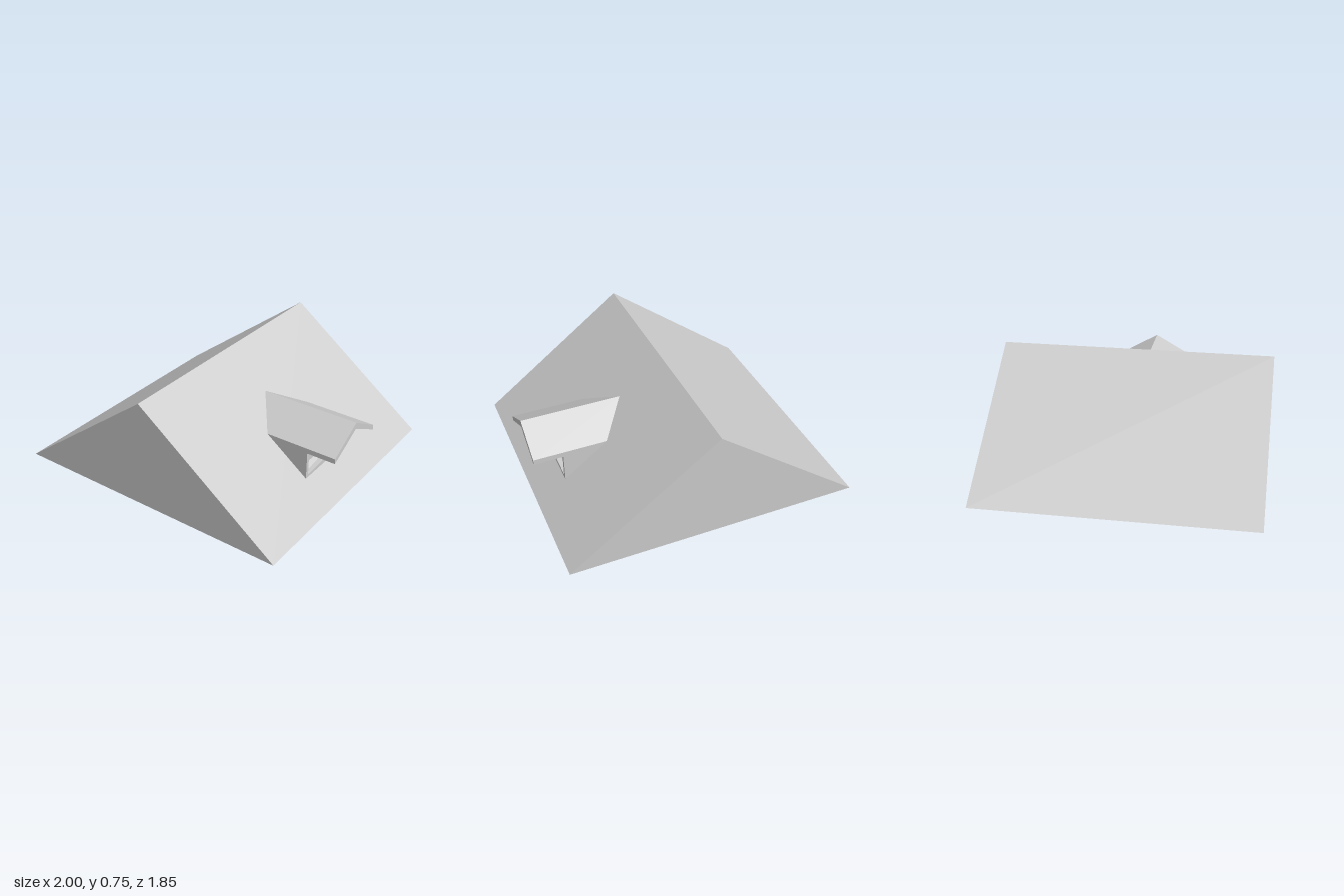
import * as THREE from 'three';

const material = new THREE.MeshStandardMaterial({ color: 0xcccccc, flatShading: true });

const toVectors = (points) => points.map(([a, b]) => new THREE.Vector2(a, b));

// Extrude a (z, y) outline along x from x0 to x1
function alongX(name, outline, x0, x1, holes = []) {
  const shape = new THREE.Shape(toVectors(outline));
  for (const hole of holes) shape.holes.push(new THREE.Path(toVectors(hole)));
  const geometry = new THREE.ExtrudeGeometry(shape, { depth: x1 - x0, bevelEnabled: false });
  geometry.rotateY(Math.PI / 2).translate(x0, 0, 0);
  const mesh = new THREE.Mesh(geometry, material);
  mesh.name = name;
  return mesh;
}

export function createModel() {
  const model = new THREE.Group();
  model.name = 'gableRoof';

  // Main gable roof: a solid triangular prism
  const gable = new THREE.Shape(toVectors([[-1, 0], [1, 0], [0, 0.755]]));
  const roofGeometry = new THREE.ExtrudeGeometry(gable, { depth: 1.85, bevelEnabled: false });
  roofGeometry.translate(0, 0, -0.925);
  const mainRoof = new THREE.Mesh(roofGeometry, material);
  mainRoof.name = 'mainRoof';
  model.add(mainRoof);

  const dormer = new THREE.Group();
  dormer.name = 'dormer';
  model.add(dormer);

  // Dormer walls, with the recessed panes on their front end
  const wall = [[-0.25, 0.15], [0.25, 0.15], [0.25, 0.345], [0, 0.475], [-0.25, 0.345]];
  dormer.add(alongX('dormerBody', wall, 0.36, 0.74));

  // Window frame with two mirrored sloping-top openings
  const openings = [1, -1].map((s) =>
    [[0.01, 0.18], [0.225, 0.17], [0.225, 0.32], [0.01, 0.412]].map(([z, y]) => [s * z, y]));
  dormer.add(alongX('windowFrame', wall, 0.74, 0.8, openings));

  // Overhanging dormer roof
  const chevron = [
    [-0.25, 0.345], [0, 0.475], [0.25, 0.345],
    [0.25, 0.38], [0, 0.522], [-0.25, 0.38],
  ];
  dormer.add(alongX('dormerRoof', chevron, 0.305, 1));

  return model;
}
